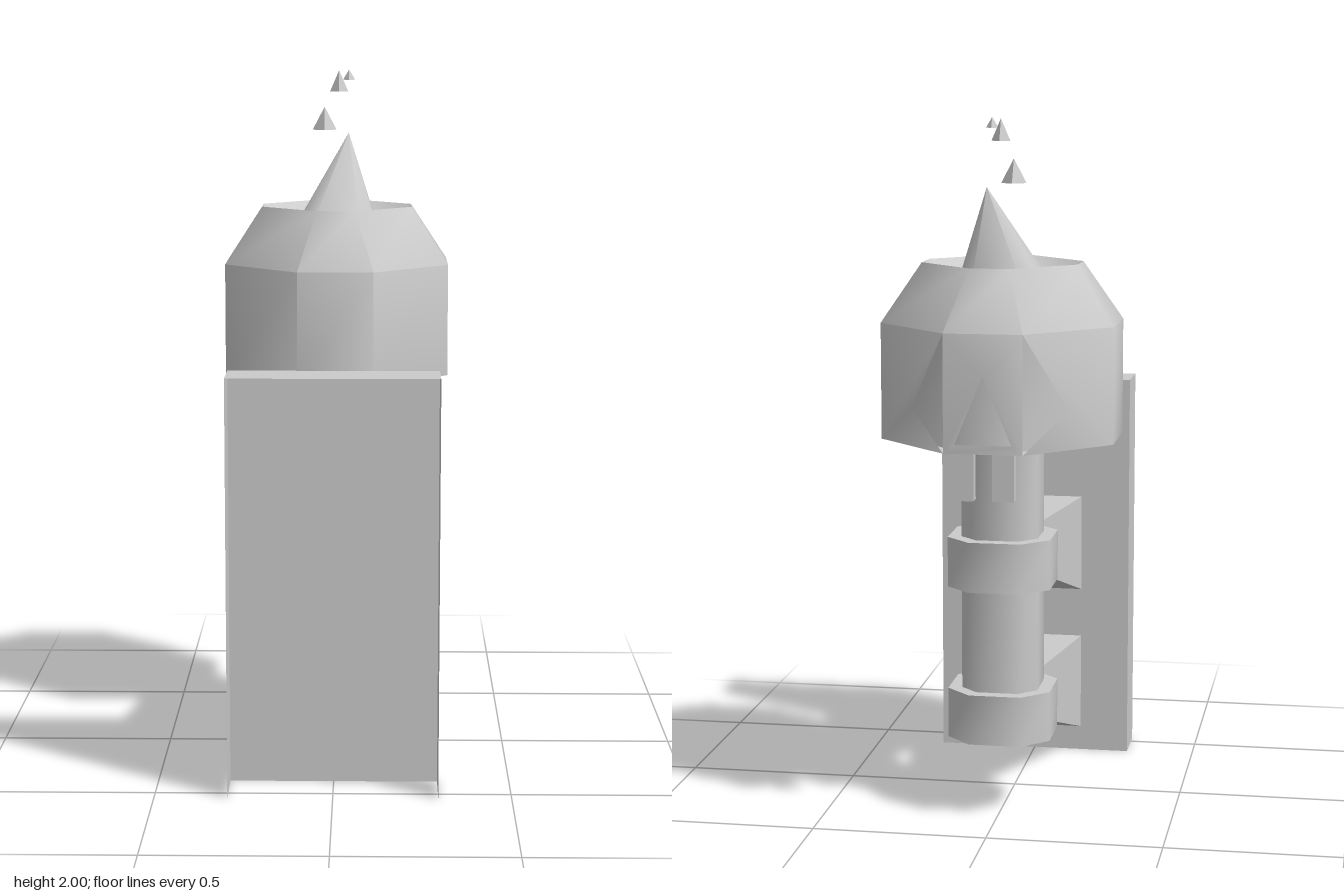
import * as THREE from 'three';
import { mergeGeometries, toCreasedNormals } from 'three/addons/utils/BufferGeometryUtils.js';

const AXIS_Z = -0.204; // the post, skull and flame share this axis
const material = new THREE.MeshStandardMaterial({ color: 0xcccccc, side: THREE.DoubleSide });

// Eight corners of a bevelled square: half width a, half length c of the straight sides
const octagon = (a, c) => [[-c, a], [c, a], [a, c], [a, -c], [c, -a], [-c, -a], [-a, -c], [-a, c]];

// Skin over rings of equal point count, each point [x, y, z], with optional flat ends
function loft(rings, capBottom = false, capTop = false) {
  const n = rings[0].length;
  const index = [];
  for (let j = 0; j < rings.length - 1; j++) {
    for (let i = 0; i < n; i++) {
      const a = j * n + i, b = j * n + (i + 1) % n;
      index.push(a, b, b + n, a, b + n, a + n);
    }
  }
  const top = (rings.length - 1) * n;
  for (let i = 1; i < n - 1; i++) {
    if (capBottom) index.push(0, i + 1, i);
    if (capTop) index.push(top, top + i, top + i + 1);
  }
  const geometry = new THREE.BufferGeometry();
  geometry.setAttribute('position', new THREE.Float32BufferAttribute(rings.flat(2), 3));
  geometry.setIndex(index);
  geometry.computeVertexNormals();
  return geometry;
}

// Octagonal loft from [half width, straight half length, height] rows
const octagonLoft = (rows, capBottom, capTop) =>
  loft(rows.map(([a, c, y]) => octagon(a, c).map(([x, z]) => [x, y, z])), capBottom, capTop);

function part(name, geometry, z = 0) {
  const mesh = new THREE.Mesh(toCreasedNormals(geometry, 0.87), material);
  mesh.name = name;
  mesh.position.z = z;
  return mesh;
}

// Eight wall panels; the three at the back are cut for the eyes and nose
function skullWall(bottom, top) {
  const corners = octagon(0.33, 0.11);
  const panels = corners.map(([x0, z0], k) => {
    const [x1, z1] = corners[(k + 1) % 8];
    const outline = [[0, bottom], [1, bottom], [1, top], [0, top]];
    if (k === 3) outline.splice(2, 0, [0.5, 1.21]);
    if (k === 5) outline.push([0.5, 1.21]);
    const shape = new THREE.Shape(outline.map(p => new THREE.Vector2(...p)));
    if (k === 4) {
      const nose = [[0.14, 1.125], [0.5, 1.315], [0.86, 1.125]];
      shape.holes.push(new THREE.Path(nose.map(p => new THREE.Vector2(...p))));
    }
    const geometry = new THREE.ShapeGeometry(shape);
    geometry.deleteAttribute('uv');
    const pos = geometry.attributes.position;
    for (let i = 0; i < pos.count; i++) {
      const u = pos.getX(i);
      pos.setXYZ(i, x0 + (x1 - x0) * u, pos.getY(i), z0 + (z1 - z0) * u);
    }
    geometry.computeVertexNormals();
    return geometry;
  });
  return panels;
}

// Collar around the post with a tapering arm to the wall plate
function bracket(y) {
  const group = new THREE.Group();
  group.name = 'bracket';
  const h = 0.145;
  group.add(part('collar', octagonLoft([[0.148, 0.075, y], [0.148, 0.075, y + h]], true, true), AXIS_Z));
  const section = (w, low, z) => [[-w, low, z], [w, low, z], [w, y + h, z], [-w, y + h, z]];
  group.add(part('arm', loft([section(0.076, y, -0.056), section(0.147, y - 0.15, 0.39)])));
  return group;
}

export function createModel() {
  const model = new THREE.Group();
  model.name = 'skullTorch';

  // Wall plate: a shallow shell open at the front and underneath
  const plate = new THREE.BoxGeometry(0.59, 1.185, 0.147);
  const faces = Array.from(plate.index.array);
  plate.setIndex([...faces.slice(0, 18), ...faces.slice(30)]);
  plate.translate(0, 1.185 / 2, 0.4635);
  model.add(part('wallPlate', plate));

  // Post and its two brackets
  model.add(part('post', octagonLoft([[0.11, 0.06, 0.23], [0.11, 0.06, 1.1]]), AXIS_Z));
  for (const y of [0.225, 0.67]) model.add(bracket(y));

  // Skull bowl: cut wall, sloping crown and a dished top, around an inner lining
  const skull = new THREE.Group();
  skull.name = 'skull';
  const crown = octagonLoft([[0.33, 0.11, 1.43], [0.222, 0.056, 1.597], [0.148, 0.074, 1.555]], false, true);
  const base = octagonLoft([[0.27, 0.09, 1.1], [0.33, 0.11, 1.1]]);
  base.index.array.reverse();
  base.computeVertexNormals();
  skull.add(part('shell', mergeGeometries([...skullWall(1.1, 1.43), crown]), AXIS_Z));
  skull.add(part('rim', base, AXIS_Z));
  skull.add(part('lining', octagonLoft([[0.27, 0.09, 1.1], [0.27, 0.09, 1.47]], true), AXIS_Z));
  for (const side of [1, -1]) {
    const tooth = new THREE.BoxGeometry(0.06, 0.13, 0.036);
    tooth.translate(side * 0.056, 1.035, -0.516);
    skull.add(part('tooth', tooth));
  }
  model.add(skull);

  // Leaning flame
  const flameBase = octagon(0.113, 0.068).map(([x, z]) => [x, 1.555, z]);
  const flameTip = flameBase.map(() => [0.034, 1.81, -0.066]);
  model.add(part('flame', loft([flameBase, flameTip]), AXIS_Z));

  // Embers: [x, base height, z, radius, height]
  const embers = [
    [-0.038, 1.82, -0.243, 0.036, 0.068],
    [0.006, 1.935, -0.2, 0.027, 0.062],
    [0.036, 1.97, -0.169, 0.018, 0.03],
  ];
  for (const [x, y, z, r, h] of embers) {
    const ember = new THREE.ConeGeometry(r, h, 4);
    ember.translate(x, y + h / 2, z);
    model.add(part('ember', ember));
  }
  return model;
}
